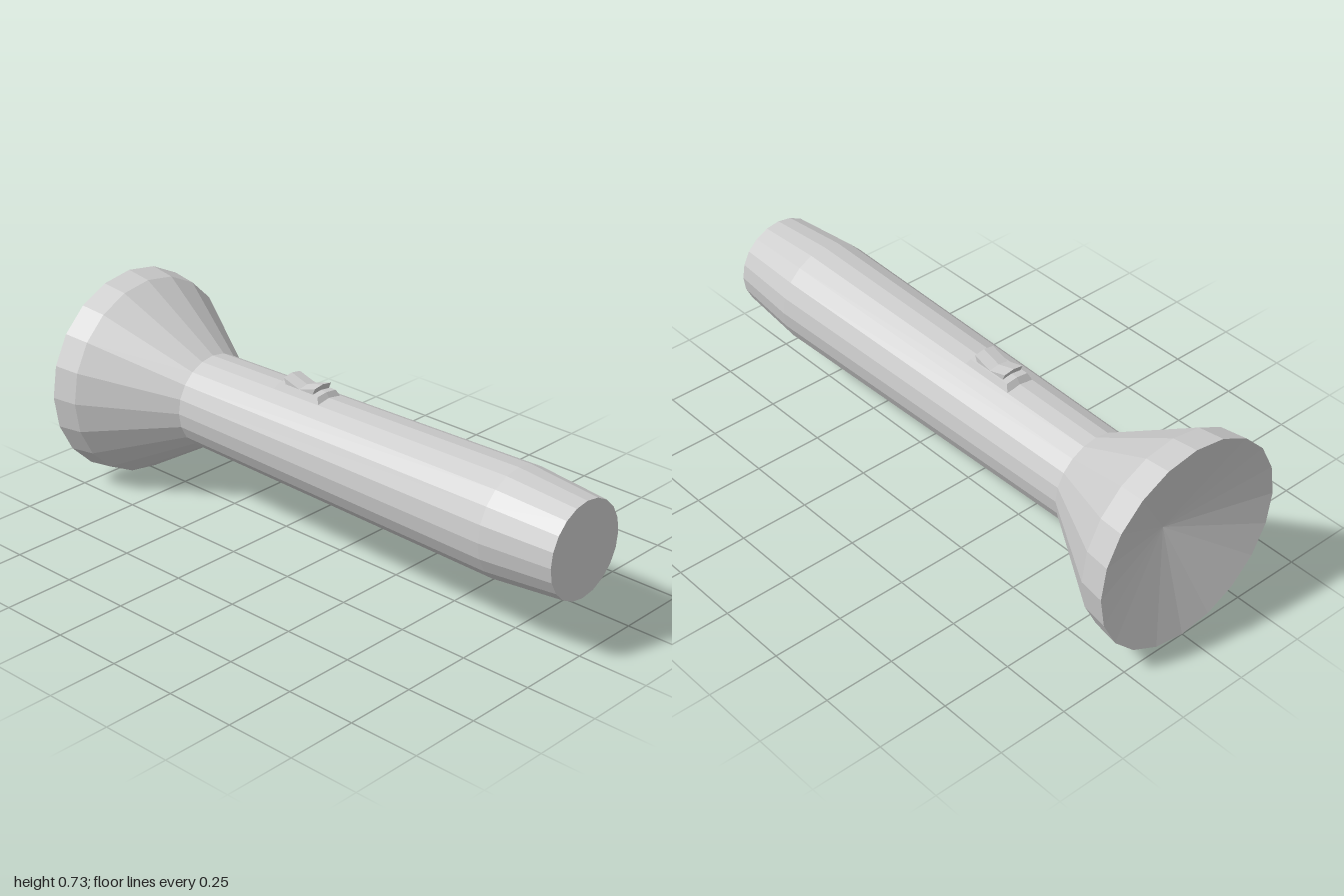
import * as THREE from 'three';

const AXIS_Y = 0.366, SIDES = 20, SWITCH_X = -0.146;
const material = new THREE.MeshStandardMaterial({ color: 0xcccccc, flatShading: true });

// Faceted turned part along x, from [radius, x] pairs running towards +x
function turned(name, profile) {
  const points = profile.map(([r, x]) => new THREE.Vector2(r, x));
  const geometry = new THREE.LatheGeometry(points, SIDES);
  geometry.rotateZ(-Math.PI / 2);
  const mesh = new THREE.Mesh(geometry, material);
  mesh.name = name;
  mesh.position.y = AXIS_Y;
  return mesh;
}

// Box whose corners are moved by a rule(vertex, isTop)
function shapedBox(name, width, depth, rule) {
  const geometry = new THREE.BoxGeometry(width, 1, depth, 2, 1, 2);
  const pos = geometry.attributes.position;
  const v = new THREE.Vector3();
  for (let i = 0; i < pos.count; i++) {
    v.fromBufferAttribute(pos, i);
    rule(v, v.y > 0);
    pos.setXYZ(i, v.x, v.y, v.z);
  }
  geometry.computeVertexNormals();
  const mesh = new THREE.Mesh(geometry, material);
  mesh.name = name;
  mesh.position.x = SWITCH_X;
  return mesh;
}

export function createModel() {
  const group = new THREE.Group();
  group.name = 'flashlight';

  // Flared head with its recessed conical reflector
  group.add(turned('reflector', [[0, -0.89], [0.366, -1]]));
  group.add(turned('head', [[0.366, -1], [0.353, -0.905], [0.164, -0.59]]));

  // Handle, swelling slightly before the tapered tail cap
  group.add(turned('handle', [[0.164, -0.59], [0.187, 0.74]]));
  group.add(turned('tailCap', [[0.187, 0.74], [0.164, 1], [0, 1]]));

  // Switch plate with bevelled sides, bent to follow the handle
  group.add(shapedBox('switchPlate', 0.2, 0.105, (v, top) => {
    if (top) {
      v.x *= 0.86;
      v.z *= 0.82;
    }
    v.y = (top ? 0.556 : 0.535) - Math.abs(v.z) * 0.12;
  }));

  // Rocker button: V-shaped top, narrower foot
  group.add(shapedBox('switchButton', 0.14, 0.076, (v, top) => {
    if (!top) v.x *= 0.8;
    v.y = top ? 0.558 + Math.abs(v.x) * 0.3 : 0.545;
    v.y -= Math.abs(v.z) * 0.16;
  }));

  return group;
}
